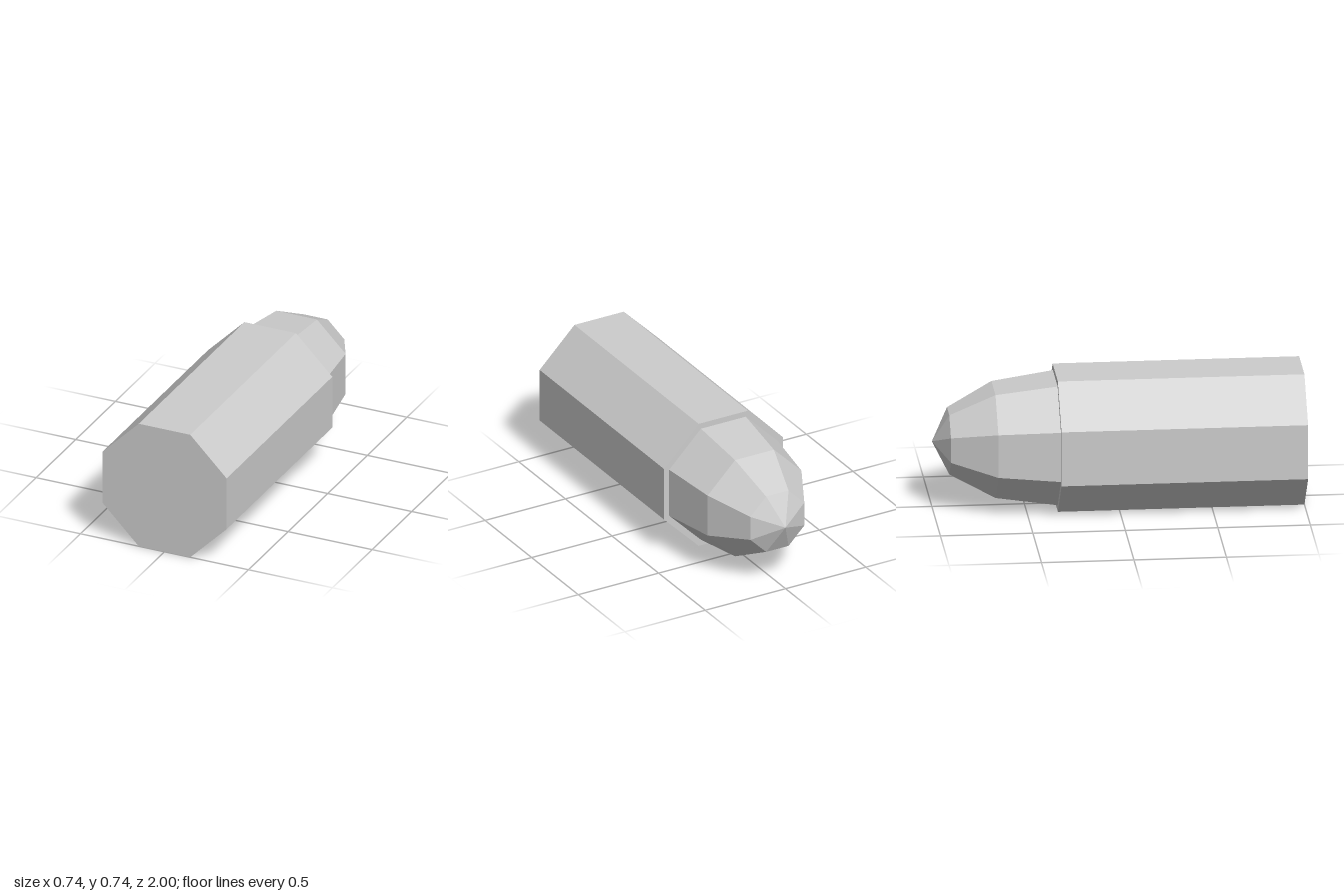
import * as THREE from 'three';

export function createModel() {
  const model = new THREE.Group();
  model.name = 'cartridge';
  const grey = new THREE.MeshStandardMaterial({ color: 0xcccccc, flatShading: true });
  grey.name = 'light grey';

  const SIDES = 8;
  const HALF = 0.37; // half height across the flats
  const corner = Math.cos(Math.PI / SIDES); // flat distance / corner distance

  // Turn an upright shape so that its top points to -z, and lift it to stand on y = 0
  const add = (name, geometry) => {
    geometry.rotateX(-Math.PI / 2).translate(0, HALF, 0);
    const mesh = new THREE.Mesh(geometry, grey);
    mesh.name = name;
    model.add(mesh);
  };

  // Octagonal casing, closed at both ends
  const r = HALF / corner;
  add('casing', new THREE.CylinderGeometry(r, r, 1.333, SIDES, 1, false, Math.PI / SIDES)
    .translate(0, -0.3335, 0));

  // Faceted nose tapering to a point: [flat distance, distance along the axis]
  const profile = [[0.337, 0.333], [0.292, 0.667], [0.168, 0.912], [0, 1]]
    .map(([d, y]) => new THREE.Vector2(d / corner, y));
  add('nose', new THREE.LatheGeometry(profile, SIDES, Math.PI / SIDES));

  return model;
}
